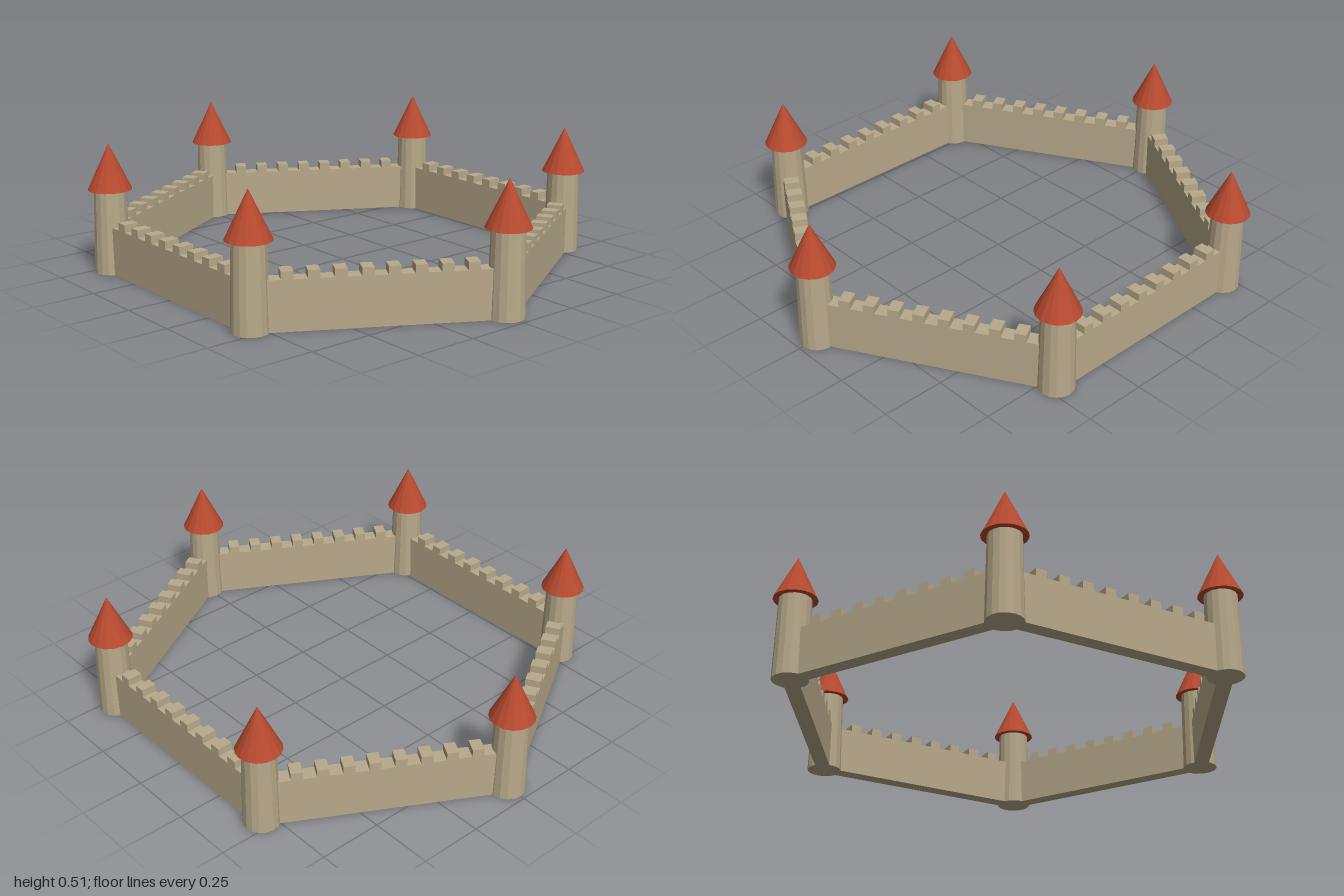
import * as THREE from 'three';

const SIDES = 6;
const RADIUS = 0.914; // centre to tower; also the length of each wall
const APOTHEM = RADIUS * Math.cos(Math.PI / SIDES);
const WALL = { height: 0.19, depth: 0.06 };
const MERLON = { count: 10, step: 0.0945, width: 0.044, height: 0.03 };

function material(name, color) {
  const m = new THREE.MeshStandardMaterial({ color, flatShading: true });
  m.name = name;
  return m;
}

function addMesh(parent, name, geometry, mat, x, y, z) {
  const mesh = new THREE.Mesh(geometry, mat);
  mesh.name = name;
  mesh.position.set(x, y, z);
  parent.add(mesh);
}

export function createModel() {
  const stone = material('stone', 0xb8a98a);
  const tile = material('roofTile', 0xb84a30);

  const shaftGeo = new THREE.CylinderGeometry(0.063, 0.07, 0.33, 16);
  const roofGeo = new THREE.ConeGeometry(0.086, 0.18, 16);
  const wallGeo = new THREE.BoxGeometry(RADIUS, WALL.height, WALL.depth);
  const merlonGeo = new THREE.BoxGeometry(MERLON.width, MERLON.height, WALL.depth);

  const model = new THREE.Group();
  model.name = 'castleWalls';

  for (let i = 0; i < SIDES; i++) {
    const angle = (i * Math.PI * 2) / SIDES;

    // Corner tower with its pointed roof
    const tower = new THREE.Group();
    tower.name = 'tower';
    tower.position.set(Math.sin(angle) * RADIUS, 0, Math.cos(angle) * RADIUS);
    addMesh(tower, 'towerShaft', shaftGeo, stone, 0, 0.165, 0);
    addMesh(tower, 'towerRoof', roofGeo, tile, 0, 0.42, 0);
    model.add(tower);

    // Straight wall to the next tower, topped by a row of merlons
    const wall = new THREE.Group();
    wall.name = 'wall';
    wall.rotation.y = angle + Math.PI / SIDES;
    addMesh(wall, 'curtainWall', wallGeo, stone, 0, WALL.height / 2, APOTHEM);
    for (let j = 0; j < MERLON.count; j++) {
      const x = (j - (MERLON.count - 1) / 2) * MERLON.step;
      addMesh(wall, 'merlon', merlonGeo, stone, x, WALL.height + MERLON.height / 2, APOTHEM);
    }
    model.add(wall);
  }
  return model;
}
